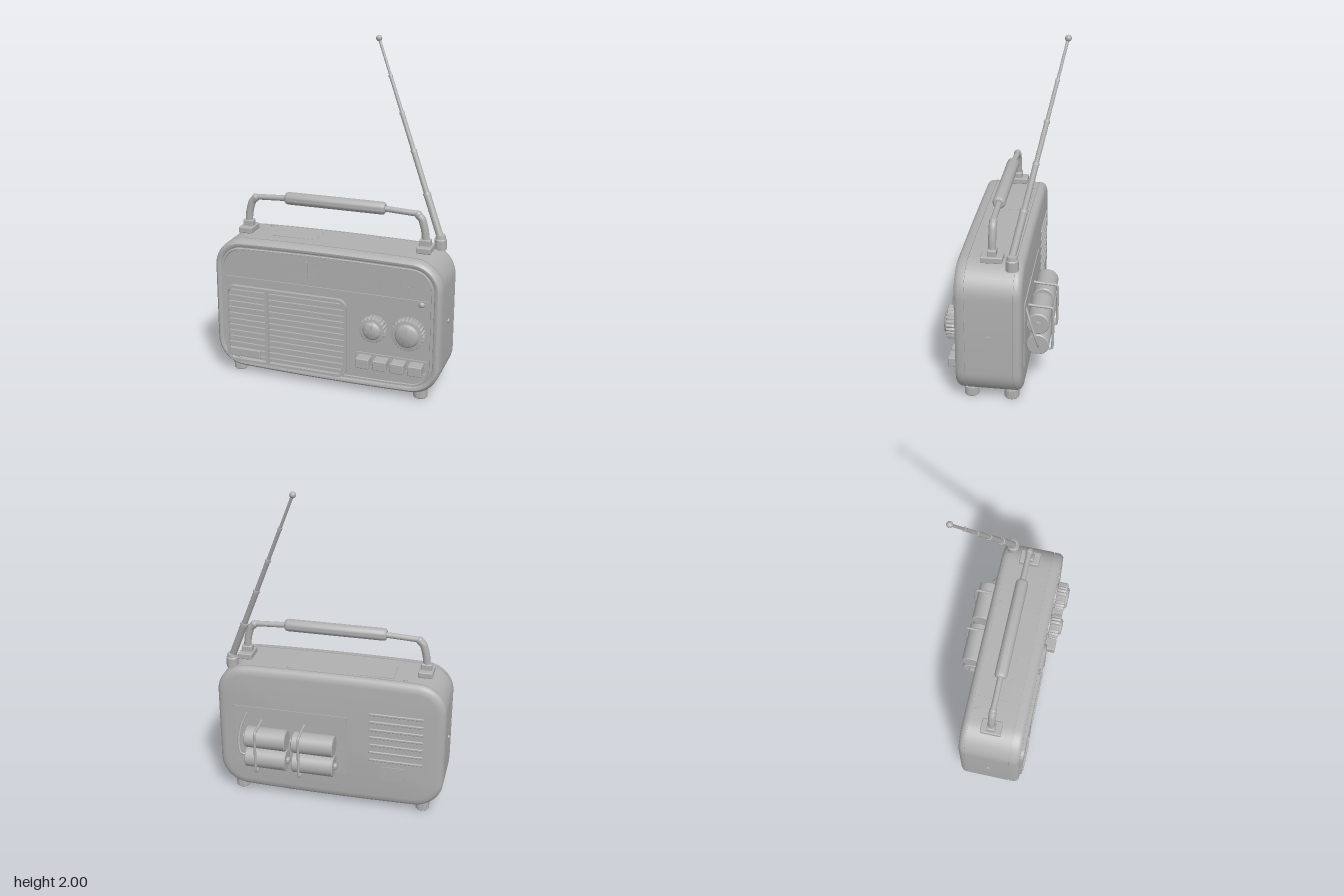
import * as THREE from 'three';
import { toCreasedNormals } from 'three/addons/utils/BufferGeometryUtils.js';
import { RoundedBoxGeometry } from 'three/addons/geometries/RoundedBoxGeometry.js';

const V = (x, y, z) => new THREE.Vector3(x, y, z);
const FACE = 0.228; // front panel plane
const BACK = -0.133; // back panel plane

export function createModel() {
  const root = new THREE.Group();
  const grey = new THREE.MeshStandardMaterial({ color: 0xb0b0b0 });
  grey.name = 'plain grey';

  const add = (name, geo, x = 0, y = 0, z = 0, parent = root) => {
    const m = new THREE.Mesh(geo, grey);
    m.name = name;
    m.position.set(x, y, z);
    parent.add(m);
    return m;
  };
  const box = (name, w, h, d, x, y, z, parent) => add(name, new THREE.BoxGeometry(w, h, d), x, y, z, parent);
  const rbox = (name, w, h, d, r, x, y, z) => add(name, new RoundedBoxGeometry(w, h, d, 3, r), x, y, z);
  const tube = (name, pts, r, n = 32) =>
    add(name, new THREE.TubeGeometry(new THREE.CatmullRomCurve3(pts, false, 'catmullrom', 0.3), n, r, 10));
  // Turned part from [radius, height] points
  const lathe = (name, pts, x, y, z, seg = 32) =>
    add(name, toCreasedNormals(new THREE.LatheGeometry(pts.map(p => new THREE.Vector2(...p)), seg), 0.6), x, y, z);
  // Cylinder between two points
  const rod = (name, a, b, r0, r1, seg = 14) => {
    const mid = a.clone().add(b).multiplyScalar(0.5);
    const m = add(name, new THREE.CylinderGeometry(r1, r0, a.distanceTo(b), seg), mid.x, mid.y, mid.z);
    m.quaternion.setFromUnitVectors(V(0, 1, 0), b.clone().sub(a).normalize());
    return m;
  };
  const roundRect = (S, x0, y0, x1, y1, r) => {
    const s = new S();
    s.absarc(x1 - r, y1 - r, r, 0, Math.PI / 2);
    s.absarc(x0 + r, y1 - r, r, Math.PI / 2, Math.PI);
    s.absarc(x0 + r, y0 + r, r, Math.PI, 1.5 * Math.PI);
    s.absarc(x1 - r, y0 + r, r, 1.5 * Math.PI, 2 * Math.PI);
    s.closePath();
    return s;
  };
  const frame = (name, x0, y0, x1, y1, r, t, depth, z) => {
    const s = roundRect(THREE.Shape, x0, y0, x1, y1, r);
    s.holes.push(roundRect(THREE.Path, x0 + t, y0 + t, x1 - t, y1 - t, Math.max(r - t, 0.002)));
    return add(name, new THREE.ExtrudeGeometry(s, { depth, bevelEnabled: false, curveSegments: 8 }), 0, 0, z);
  };

  // Case: bowed rounded rectangle lofted along z through [z, inset] steps
  const ring = (inset) => {
    const pts = [], w = 0.69 - inset, h = 0.4 - inset, r = 0.17 - inset;
    const bow = (x) => 0.012 * (1 - (x / w) ** 2);
    const put = (x, y) => pts.push([x, 0.445 + y + Math.sign(y) * bow(x)]);
    [[1, 1], [-1, 1], [-1, -1], [1, -1]].forEach(([sx, sy], q) => {
      for (let i = 0; i <= 12; i++) {
        const a = (q + i / 12) * Math.PI / 2;
        put(sx * (w - r) + r * Math.cos(a), sy * (h - r) + r * Math.sin(a));
      }
      if (q % 2 === 0) for (let i = 1; i < 12; i++) put(sx * (w - r) * (1 - i / 6), sy * h);
    });
    return pts;
  };
  const profile = [[BACK, 0.05], [-0.130, 0.025], [-0.118, 0.008], [-0.10, 0], [-0.092, 0], [-0.092, 0.007],
    [-0.086, 0.007], [-0.086, 0], [0.175, 0], [0.175, 0.007], [0.182, 0.007], [0.182, 0], [0.215, 0.002],
    [0.23, 0.01], [0.238, 0.02], [0.238, 0.032], [0.233, 0.04], [0.228, 0.042], [0.228, 0.047],
    [0.235, 0.05], [0.235, 0.057], [FACE, 0.06]];
  const pos = [], idx = [], n = ring(0).length;
  profile.forEach(([z, inset]) => ring(inset).forEach(([x, y]) => pos.push(x, y, z)));
  for (let i = 0; i < profile.length - 1; i++) for (let j = 0; j < n; j++) {
    const k = (j + 1) % n, a = i * n + j, b = i * n + k;
    idx.push(a, b, b + n, a, b + n, a + n);
  }
  const last = (profile.length - 1) * n, c = pos.length / 3;
  pos.push(0, 0.445, BACK, 0, 0.445, FACE);
  for (let j = 0; j < n; j++) {
    const k = (j + 1) % n;
    idx.push(c, k, j, c + 1, last + j, last + k);
  }
  const caseGeo = new THREE.BufferGeometry();
  caseGeo.setAttribute('position', new THREE.Float32BufferAttribute(pos, 3));
  caseGeo.setIndex(idx);
  add('case', toCreasedNormals(caseGeo, 0.6));

  // Feet and side studs
  for (const s of [-1, 1]) {
    for (const z of [0.165, -0.065])
      lathe('foot', [[0, 0], [0.038, 0], [0.042, 0.005], [0.042, 0.055], [0, 0.055]], s * 0.568, 0, z);
    rod('sideStud', V(s * 0.685, 0.445, 0.05), V(s * 0.697, 0.445, 0.05), 0.014, 0.012);
  }

  // Speaker grille
  frame('grilleFrame', -0.62, 0.08, 0.14, 0.568, 0.055, 0.016, 0.022, FACE);
  for (let i = 0; i < 12; i++) {
    const end = i === 0 || i === 11 ? 0.69 : 0.735;
    box('grilleSlat', end, 0.015, 0.013, -0.24, 0.117 + i * 0.0377, 0.2355);
  }
  box('grillePost', 0.02, 0.465, 0.022, -0.357, 0.324, 0.24);
  rbox('badgePlate', 0.195, 0.05, 0.012, 0.004, -0.5, 0.143, 0.25);

  // Tuning dial: divider, scale ticks and needle
  box('dialDivider', 1.24, 0.007, 0.008, 0, 0.618, FACE + 0.003);
  [[0.755, 0.012], [0.685, 0.012]].forEach(([y, h]) => {
    for (let i = 0; i < 45; i++) {
      const big = i % 5 === 0;
      box('dialTick', 0.004, big ? h * 1.8 : h, 0.003, -0.53 + i * 0.0245, y, FACE + 0.0015);
    }
  });
  box('dialNeedle', 0.009, 0.125, 0.012, -0.1, 0.71, 0.242);
  add('indicatorLamp', new THREE.SphereGeometry(0.018, 16, 10), 0.578, 0.598, FACE);

  // Knobs with scalloped grips
  for (const [x, r, cap, lobes] of [[0.31, 0.074, 0.046, 20], [0.515, 0.092, 0.062, 26]]) {
    const s = new THREE.Shape();
    for (let i = 0; i < lobes * 6; i++) {
      const a = i / (lobes * 6) * Math.PI * 2, q = r + 0.0035 * Math.cos(a * lobes);
      s[i ? 'lineTo' : 'moveTo'](q * Math.cos(a), q * Math.sin(a));
    }
    s.closePath();
    add('knobGrip', toCreasedNormals(new THREE.ExtrudeGeometry(s,
      { depth: 0.05, bevelThickness: 0.006, bevelSize: 0.006, bevelOffset: -0.006, bevelSegments: 2 }), 0.5), x, 0.43, 0.245);
    lathe('knobSkirt', [[r * 0.9, 0], [r * 0.9, 0.02]], x, 0.43, FACE).rotation.x = Math.PI / 2;
    lathe('knobCap', [[cap + 0.008, 0], [cap + 0.006, 0.006], [cap, 0.012], [cap - 0.006, 0.016], [0, 0.016]],
      x, 0.43, 0.3).rotation.x = Math.PI / 2;
    box('knobPointer', 0.006, cap * 0.7, 0.003, x, 0.43 + cap * 0.45, 0.317);
  }

  // Push buttons
  frame('buttonFrame', 0.185, 0.17, 0.622, 0.256, 0.008, 0.006, 0.008, FACE);
  for (const x of [0.25, 0.353, 0.457, 0.56]) {
    rbox('button', 0.08, 0.06, 0.075, 0.006, x, 0.212, 0.2575);
    box('buttonMark', 0.03, 0.008, 0.003, x, 0.15, FACE + 0.001);
  }

  // Carrying handle
  const hz = 0.045;
  for (const s of [-1, 1]) {
    rbox('handleBase', 0.085, 0.036, 0.122, 0.006, s * 0.545, 0.868, hz);
    rbox('handleSocket', 0.064, 0.045, 0.05, 0.008, s * 0.543, 0.9, hz);
    tube('handleArm', [V(s * 0.545, 0.9, hz), V(s * 0.538, 0.97, hz), V(s * 0.52, 1.035, hz),
      V(s * 0.495, 1.06, hz)], 0.022, 20);
    add('handleElbow', new THREE.SphereGeometry(0.023, 16, 12), s * 0.497, 1.061, hz);
    rod('handleBar', V(s * 0.51, 1.065, hz), V(s * 0.29, 1.076, hz), 0.017, 0.017);
  }
  lathe('handleGrip', [[0, -0.305], [0.026, -0.305], [0.034, -0.297], [0.037, -0.285], [0.037, 0.285],
    [0.034, 0.297], [0.026, 0.305], [0, 0.305]], 0, 1.077, hz).rotation.z = Math.PI / 2;

  // Telescopic aerial
  const a0 = V(0.6, 0.9, -0.07), a1 = V(0.145, 1.982, -0.308);
  const along = (t) => a0.clone().lerp(a1, t);
  lathe('aerialBase', [[0.036, 0.83], [0.036, 0.888], [0.031, 0.893], [0.027, 0.915], [0, 0.922]], 0.602, 0, -0.072);
  const stops = [0, 0.22, 0.435, 0.627, 0.813, 1], radii = [0.021, 0.0165, 0.0135, 0.0105, 0.008];
  radii.forEach((r, i) => {
    rod('aerialSection', along(stops[i]), along(stops[i + 1]), r, r);
    if (i < 4) rod('aerialCollar', along(stops[i + 1] - 0.008), along(stops[i + 1] + 0.004), r + 0.003, r + 0.001);
  });
  add('aerialTip', new THREE.SphereGeometry(0.018, 18, 12), a1.x, a1.y, a1.z);

  // Top plate and screws
  box('topPlate', 0.27, 0.008, 0.17, -0.235, 0.854, 0.015);
  for (const x of [-0.44, 0.25]) rod('topScrew', V(x, 0.84, -0.07), V(x, 0.86, -0.07), 0.014, 0.012);

  // Back: battery door, vents and socket cover
  box('batteryDoor', 0.69, 0.39, 0.008, 0.235, 0.405, BACK - 0.001);
  for (let i = 0; i < 7; i++) rbox('ventSlat', 0.32, 0.016, 0.014, 0.005, -0.405, 0.335 + i * 0.051, BACK - 0.001);
  box('socketCover', 0.14, 0.09, 0.008, -0.39, 0.25, BACK - 0.001);

  // Batteries
  for (const y of [0.434, 0.3]) for (const x of [0.075, 0.365]) {
    lathe('battery', [[0, -0.125], [0.06, -0.125], [0.065, -0.12], [0.065, 0.12], [0.06, 0.125], [0.02, 0.125],
      [0.02, 0.142], [0, 0.142]], x, y, -0.2).rotation.z = y > 0.4 ? -Math.PI / 2 : Math.PI / 2;
  }
  // Wire clips and lead
  for (const x of [0.15, 0.415]) tube('batteryClip', [V(x, 0.515, -0.125), V(x, 0.508, -0.2), V(x, 0.504, -0.262),
    V(x, 0.49, -0.277), V(x, 0.37, -0.279), V(x, 0.25, -0.277), V(x, 0.236, -0.262), V(x, 0.233, -0.2),
    V(x, 0.24, -0.125)], 0.008, 64);
  tube('batteryLead', [V(0.49, 0.3, -0.2), V(0.53, 0.32, -0.208), V(0.545, 0.39, -0.19), V(0.535, 0.48, -0.16),
    V(0.5, 0.57, -0.128)], 0.007, 40);

  return root;
}
